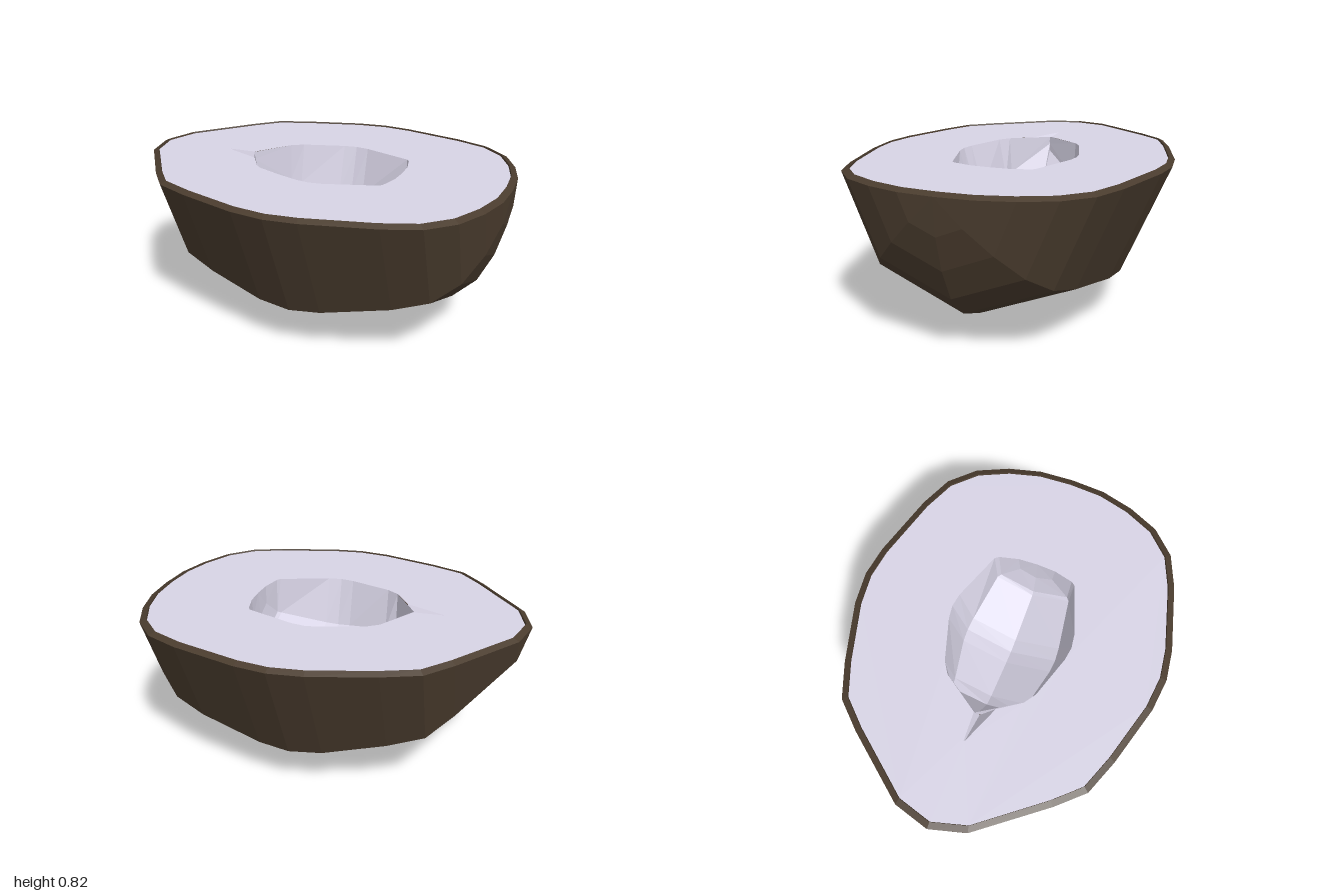
import * as THREE from 'three';

const AXIS = 0.81; // height of the cut plane, where the shell's long axis lies

// Half profile of the nut along x: [x, radius]
const PROFILE = [
  [-1, 0], [-0.95, 0.18], [-0.7, 0.5], [-0.58, 0.63], [-0.4, 0.7], [-0.09, 0.79], [0.08, 0.81],
  [0.24, 0.79], [0.58, 0.7], [0.75, 0.63], [0.87, 0.51], [0.945, 0.35], [0.99, 0.18], [1, 0],
];

// Hollow stations: [x, half width at the cut, half width lower down, its depth, depth at the keel]
const HOLLOW = [
  [-0.41, 0, 0, 0.04, 0.08], [-0.28, 0.2, 0.19, 0.2, 0.27], [-0.22, 0.24, 0.2, 0.215, 0.3],
  [0, 0.31, 0.245, 0.245, 0.345], [0.07, 0.32, 0.25, 0.25, 0.354], [0.14, 0.31, 0.245, 0.245, 0.345],
  [0.4, 0.22, 0.205, 0.2, 0.28], [0.415, 0.2, 0.19, 0.19, 0.26], [0.44, 0.1, 0.09, 0.1, 0.14],
  [0.445, 0, 0, 0, 0],
];

// Faceted surface through rows of points
function loft(rows, outward) {
  const pos = [];
  for (let i = 0; i < rows.length - 1; i++) {
    for (let j = 0; j < rows[i].length - 1; j++) {
      const a = rows[i][j], b = rows[i + 1][j], c = rows[i + 1][j + 1], d = rows[i][j + 1];
      pos.push(...(outward ? [a, c, b, a, d, c] : [a, b, c, a, c, d]).flat());
    }
  }
  const g = new THREE.BufferGeometry();
  g.setAttribute('position', new THREE.Float32BufferAttribute(pos, 3));
  g.computeVertexNormals();
  return g;
}

// Closed outline of the cut face, scaled towards the centre
function outline(sx, sz, y) {
  const front = PROFILE.map(([x, r]) => [x * sx, y, r * sz]);
  const back = PROFILE.slice(0, -1).reverse().map(([x, r]) => [x * sx, y, -r * sz]);
  return [...front, ...back];
}

export function createModel() {
  const group = new THREE.Group();
  const husk = new THREE.MeshStandardMaterial({ color: 0x4a3c2e, flatShading: true, side: THREE.DoubleSide });
  const white = new THREE.MeshStandardMaterial({ color: 0xd8d4e6, flatShading: true, side: THREE.DoubleSide });
  const add = (name, geometry, material) => {
    const mesh = new THREE.Mesh(geometry, material);
    mesh.name = name;
    group.add(mesh);
  };

  // Lower half of an eight-sided shell
  const shellRows = PROFILE.map(([x, r]) => [0, 1, 2, 3, 4].map((k) => {
    const t = k * Math.PI / 4;
    return [x, AXIS - r * Math.sin(t), r * Math.cos(t)];
  }));
  add('shell', loft(shellRows, true), husk);

  // Narrow raised rim around the cut
  const rimRows = [outline(1, 1, AXIS), outline(0.968, 0.96, AXIS + 0.015), outline(0.963, 0.955, AXIS)];
  add('rim', loft(rimRows, true), husk);

  // Flat flesh with an opening for the hollow and its notch
  const toPoint = ([x, , z]) => new THREE.Vector2(x, -z);
  const flesh = new THREE.Shape(outline(0.965, 0.957, 0).slice(0, -1).map(toPoint));
  const edge = HOLLOW.slice(1, -1);
  const opening = [
    [-0.56, 0, 0.005], [-0.36, 0, 0.085],
    ...edge.map(([x, w]) => [x, 0, w]),
    [0.445, 0, 0],
    ...edge.map(([x, w]) => [x, 0, -w]).reverse(),
    [-0.41, 0, -0.008], [-0.56, 0, -0.012],
  ];
  flesh.holes.push(new THREE.Path(opening.map(toPoint)));
  add('flesh', new THREE.ShapeGeometry(flesh).rotateX(-Math.PI / 2).translate(0, AXIS + 0.006, 0), white);

  // Faceted hollow in the middle
  const top = AXIS + 0.006;
  const hollowRows = HOLLOW.map(([x, w, m, dm, db]) => [
    [x, top, w], [x, top - dm, m], [x, top - db, 0], [x, top - dm, -m], [x, top, -w],
  ]);
  add('hollow', loft(hollowRows, false), white);

  // Thin notch running out of the hollow
  const notchRows = [
    [[-0.56, top, 0.005], [-0.56, top, 0], [-0.56, top, -0.012]],
    [[-0.36, top, 0.085], [-0.4, top - 0.06, 0.015], [-0.41, top, -0.008]],
  ];
  add('notch', loft(notchRows, false), white);

  return group;
}
